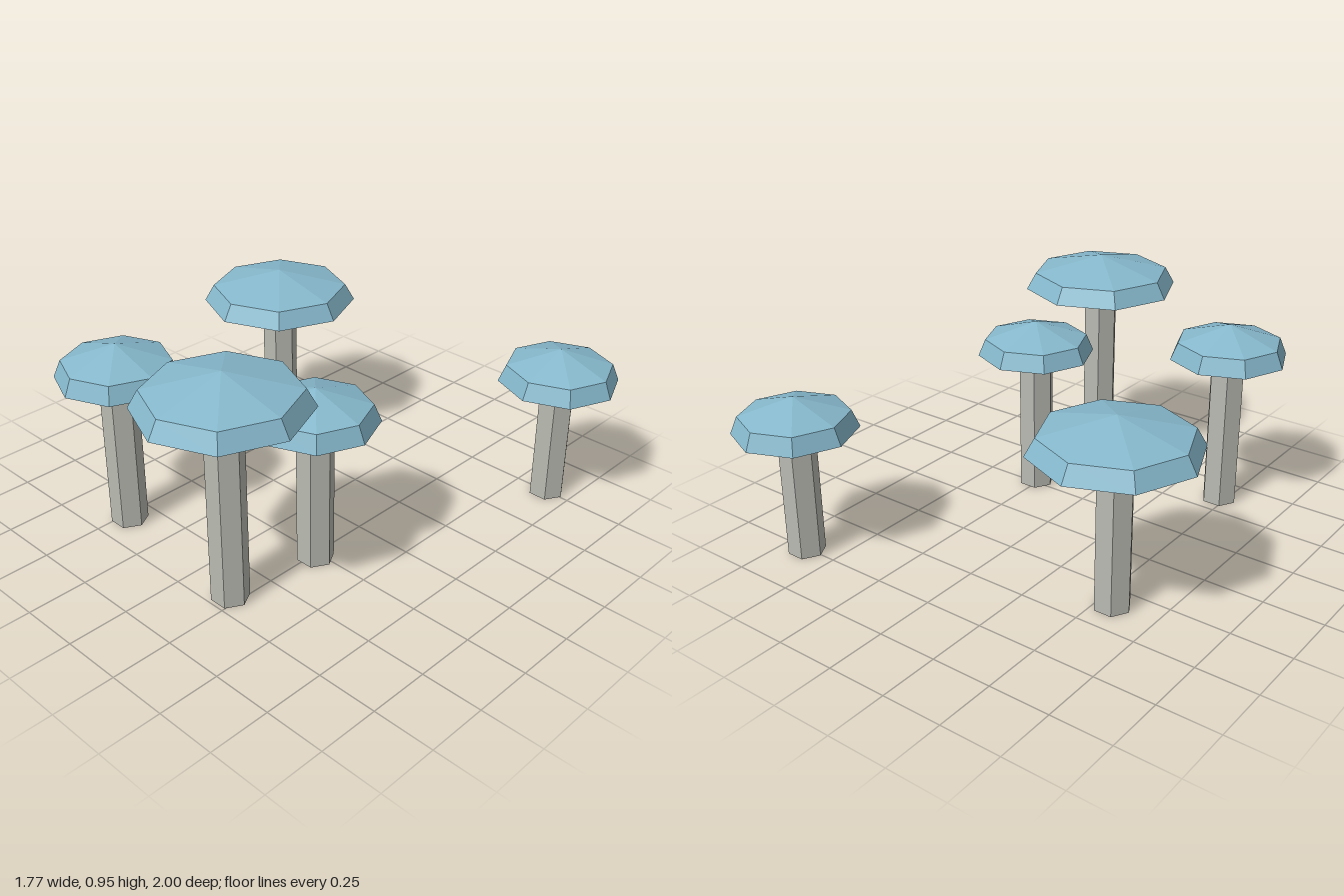
import * as THREE from 'three';

const capMaterial = new THREE.MeshStandardMaterial({ name: 'dusty blue', color: 0x86b8cc, flatShading: true });
const stemMaterial = new THREE.MeshStandardMaterial({ name: 'warm grey', color: 0xb9bbb2, flatShading: true });

const STEM_RADIUS = 0.075;
const CAP_STEP = 0.07; // height of the cap rim, and of the roof above it

// x, z, stem height, cap radius
const MUSHROOMS = [
  [0.21, 0.67, 0.812, 0.327],
  [-0.563, -0.357, 0.642, 0.327],
  [-0.468, 0.61, 0.66, 0.245],
  [0.264, 0.27, 0.612, 0.245],
  [0.64, -0.755, 0.532, 0.245],
];

// Faceted geometry with one normal per face
function faceted(geometry) {
  const flat = geometry.toNonIndexed();
  flat.computeVertexNormals();
  return flat;
}

function createMushroom(x, z, height, radius) {
  const mushroom = new THREE.Group();
  mushroom.name = 'mushroom';

  // Six-sided stem, corners pointing to the sides
  const stem = new THREE.Mesh(
    faceted(new THREE.CylinderGeometry(STEM_RADIUS, STEM_RADIUS, height, 6, 1, false, Math.PI / 2)),
    stemMaterial
  );
  stem.name = 'stem';
  stem.position.y = height / 2;

  // Eight-sided cap: flat underside, sloping rim, shallow pointed roof
  const profile = [
    new THREE.Vector2(0, 0),
    new THREE.Vector2(radius, 0),
    new THREE.Vector2(radius * 0.88, CAP_STEP),
    new THREE.Vector2(0, CAP_STEP * 2),
  ];
  const cap = new THREE.Mesh(faceted(new THREE.LatheGeometry(profile, 8)), capMaterial);
  cap.name = 'cap';
  cap.position.y = height;

  mushroom.add(stem, cap);
  mushroom.position.set(x, 0, z);
  return mushroom;
}

export function createModel() {
  const model = new THREE.Group();
  model.name = 'mushroomCluster';
  for (const spec of MUSHROOMS) model.add(createMushroom(...spec));
  return model;
}
